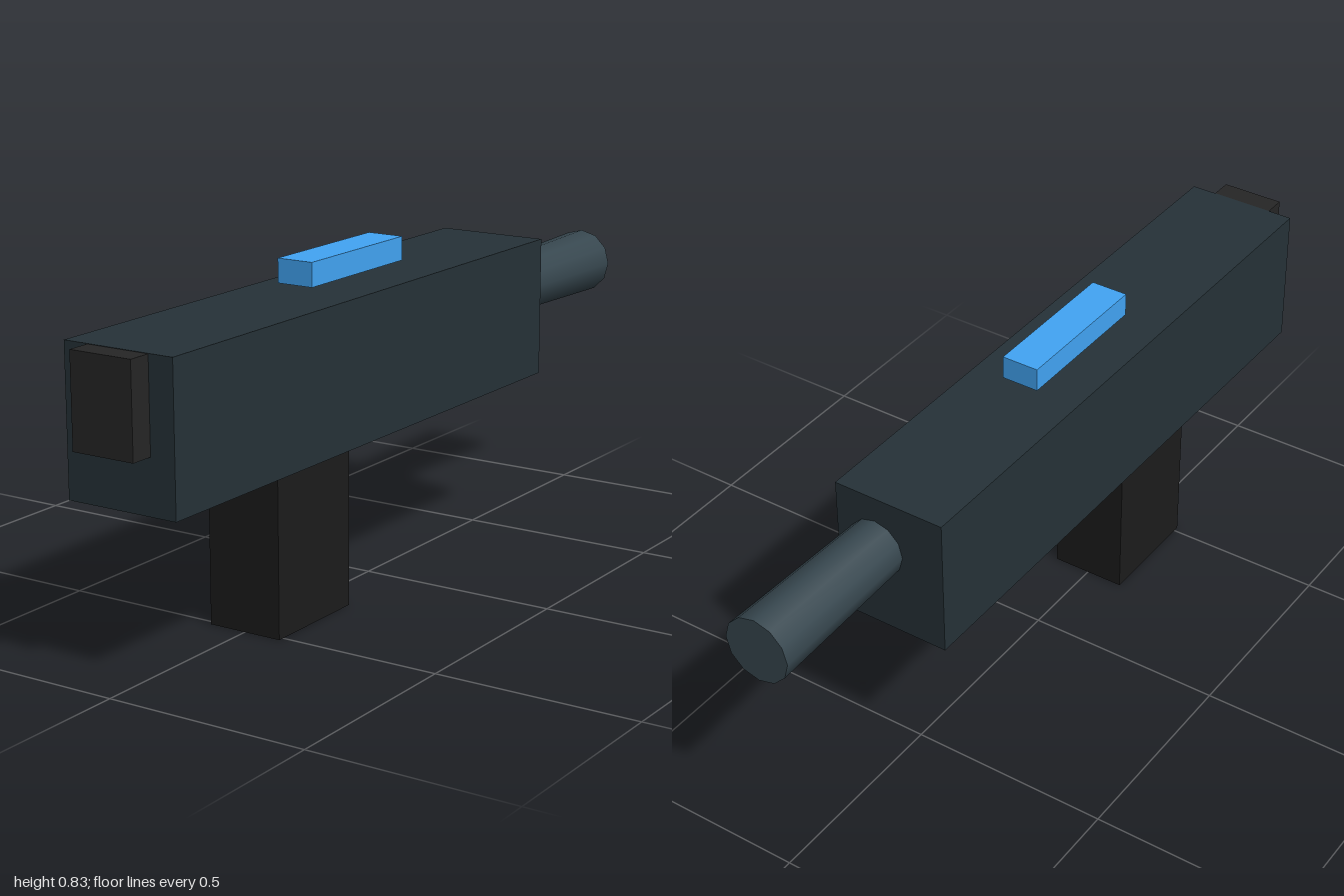
import * as THREE from 'three';

export function createModel() {
  const model = new THREE.Group();

  function add(name, geometry, color, x, y, z) {
    const mesh = new THREE.Mesh(geometry, new THREE.MeshStandardMaterial({ color }));
    mesh.name = name;
    mesh.position.set(x, y, z);
    model.add(mesh);
    return mesh;
  }

  // Box given by its width and its y and z ranges, centred on x = 0
  function addBox(name, color, width, [y0, y1], [z0, z1]) {
    const geometry = new THREE.BoxGeometry(width, y1 - y0, z1 - z0);
    return add(name, geometry, color, 0, (y0 + y1) / 2, (z0 + z1) / 2);
  }

  addBox('body', 0x263238, 0.286, [0.4, 0.75], [-0.585, 0.943]);
  addBox('grip', 0x1c1c1c, 0.192, [0, 0.42], [0.23, 0.515]);
  // Top sits a hair below the body's top so the faces do not clash
  addBox('endBlock', 0x262626, 0.16, [0.53, 0.749], [0.4, 1]);
  // Floating strip above the body
  addBox('topStrip', 0x42a5f5, 0.094, [0.77, 0.828], [-0.075, 0.305]);

  // Barrel widens towards its far end and sits off to one side
  const barrelLength = 0.43;
  const barrel = new THREE.CylinderGeometry(0.072, 0.083, barrelLength, 12);
  barrel.rotateX(Math.PI / 2);
  add('barrel', barrel, 0x37474f, 0.038, 0.615, -1 + barrelLength / 2);

  return model;
}
